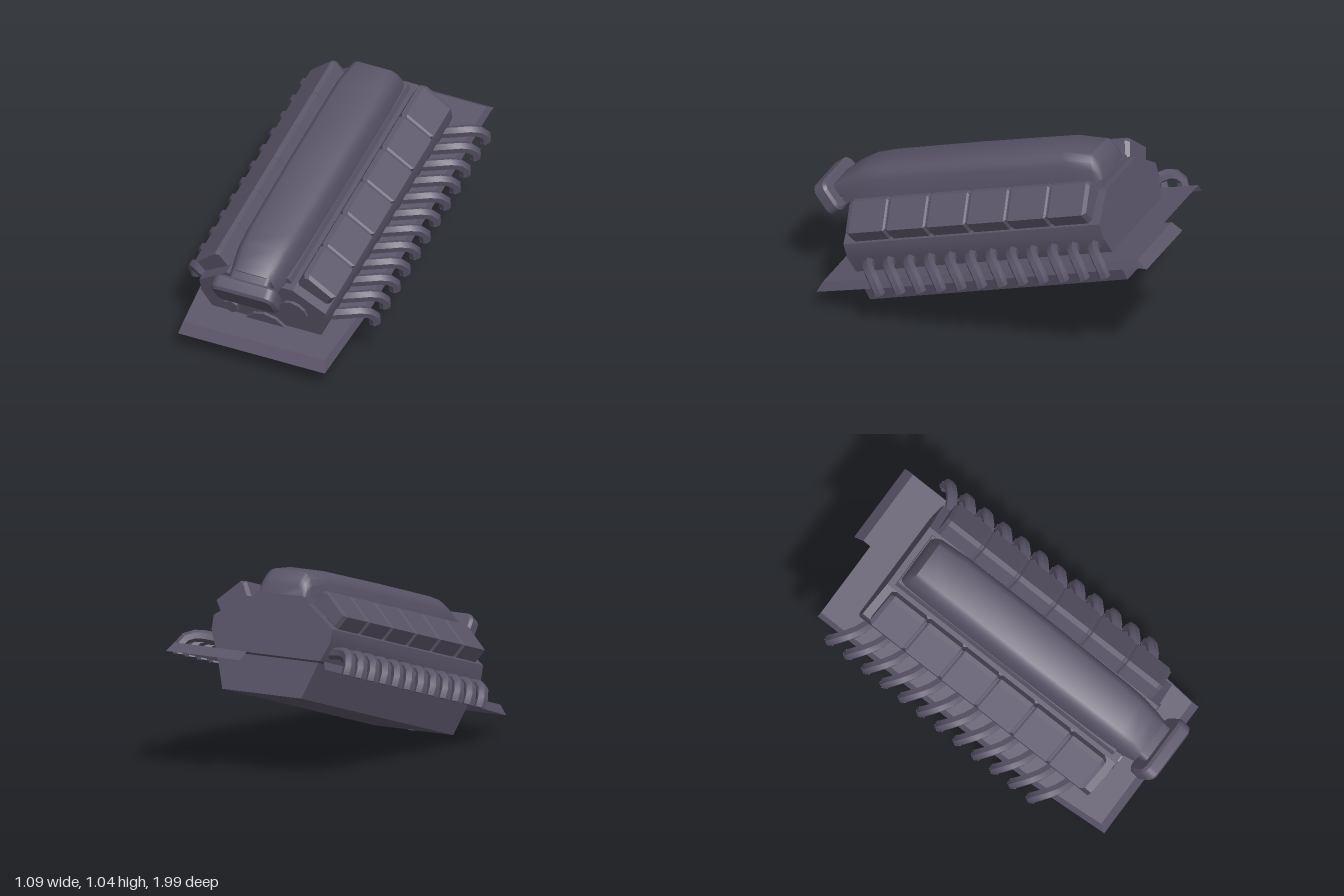
import * as THREE from 'three';
import { toCreasedNormals } from 'three/addons/utils/BufferGeometryUtils.js';

const TILT = 0.29;
const metal = new THREE.MeshStandardMaterial({ color: 0x5a5468 });
const sheet = new THREE.MeshStandardMaterial({ color: 0x5a5468, side: THREE.DoubleSide });

function add(parent, name, geometry, material = metal, crease = 0.5) {
  const mesh = new THREE.Mesh(toCreasedNormals(geometry, crease), material);
  mesh.name = name;
  parent.add(mesh);
  return mesh;
}

// Surface through rows of points, optionally closed around and capped.
function skin(rows, closed) {
  const n = rows[0].length;
  const points = rows.flat();
  const index = [];
  for (let i = 0; i < rows.length - 1; i++) {
    for (let j = 0; j < (closed ? n : n - 1); j++) {
      const k = (j + 1) % n;
      const a = i * n + j, b = i * n + k, c = b + n, d = a + n;
      index.push(a, b, c, a, c, d);
    }
  }
  if (closed) {
    const last = (rows.length - 1) * n;
    for (let j = 1; j < n - 1; j++) {
      index.push(0, j + 1, j, last, last + j, last + j + 1);
    }
  }
  const g = new THREE.BufferGeometry();
  g.setAttribute('position', new THREE.Float32BufferAttribute(points.flat(), 3));
  g.setIndex(index);
  return g;
}

const at = (section, z) => section.map(([x, y]) => [x, y, z]);
// Half outline (from bottom right up) completed with its mirror image.
const symmetric = half => [...half, ...half.map(([x, y]) => [-x, y]).reverse()];

function roundedRect(w, h, r) {
  const s = new THREE.Shape();
  s.absarc(w / 2 - r, h / 2 - r, r, 0, Math.PI / 2);
  s.absarc(-w / 2 + r, h / 2 - r, r, Math.PI / 2, Math.PI);
  s.absarc(-w / 2 + r, -h / 2 + r, r, Math.PI, Math.PI * 1.5);
  s.absarc(w / 2 - r, -h / 2 + r, r, Math.PI * 1.5, Math.PI * 2);
  return s;
}

export function createModel() {
  const root = new THREE.Group();
  root.name = 'engine';
  const body = new THREE.Group();
  body.name = 'tiltedEngine';
  body.rotation.x = TILT;
  root.add(body);

  // Block and sump
  const block = symmetric([[0.31, 0.38], [0.36, 0.49], [0.36, 0.565], [0.19, 0.682]]);
  add(body, 'block', skin([at(block, -0.89), at(block, 0.6)], true));
  const sump = symmetric([[0.24, 0.193], [0.31, 0.386]]);
  add(body, 'sump', skin([at(sump, -0.89), at(sump, 0.61)], true));

  // Mounting plate: flat top, with rims folded down at the sides and front
  const plateRow = ([z, w, rimX, rimY, rimZ]) =>
    [[-rimX, rimY, rimZ], [-w, 0.386, z], [w, 0.386, z], [rimX, rimY, rimZ]];
  add(body, 'mountingPlate', skin([
    [-1.05, 0.44, 0.455, 0.345, -1.05], [0.35, 0.44, 0.455, 0.345, 0.35],
    [0.751, 0.405, 0.42, 0.338, 0.797],
  ].map(plateRow)), sheet, 0.2);
  add(body, 'frontPlateRim', skin([
    [[-0.405, 0.386, 0.751], [0.405, 0.386, 0.751]],
    [[-0.42, 0.338, 0.797], [0.42, 0.338, 0.797]],
  ]), sheet);
  // Rear extension on the left half only
  add(body, 'rearPlateFlap', skin([
    [[0, 0.335, -1.141], [0.455, 0.335, -1.141], [0.455, 0.345, -1.1]],
    [[0, 0.386, -1.095], [0.44, 0.386, -1.095], [0.455, 0.345, -1.1]],
    [[0, 0.386, -1.05], [0.44, 0.386, -1.05], [0.455, 0.345, -1.05]],
  ]), sheet, 0.1);

  // Segmented valve covers, with a groove between segments
  const cover = [[0.355, 0.573], [0.4, 0.64], [0.265, 0.759], [0.235, 0.759], [0.19, 0.68]];
  const coverRow = (scale, z, side) => {
    const row = cover.map(([x, y]) =>
      [side * (0.29 + (x - 0.29) * scale), 0.67 + (y - 0.67) * scale, z]);
    return side > 0 ? row : row.reverse();
  };
  for (const side of [1, -1]) {
    const rows = [];
    const back = -0.85, step = 1.405 / 6;
    for (let i = 0; i < 6; i++) {
      const z0 = back + i * step, z1 = z0 + step;
      rows.push(coverRow(i ? 0.9 : 0.85, z0 + 0.003, side));
      rows.push(coverRow(1, z0 + (i ? 0.014 : 0.025), side));
      rows.push(coverRow(1, z1 - (i < 5 ? 0.014 : 0.025), side));
      rows.push(coverRow(i < 5 ? 0.9 : 0.85, z1 - 0.003, side));
    }
    add(body, side > 0 ? 'leftValveCover' : 'rightValveCover', skin(rows, true), metal, 0.2);
  }

  // Intake hood on a low plinth: chamfered section, rounded off at both ends
  const plinth = symmetric([[0.17, 0.67], [0.155, 0.715]]);
  add(body, 'hoodPlinth', skin([at(plinth, -0.855), at(plinth, 0.56)], true));
  const hoodRow = ([z, w, top, base, round]) => at(symmetric([
    [w, base], [w, top - round * 1.2], [w - round * 0.3, top - round * 0.6],
    [w - round * 0.65, top - round * 0.2], [w - round, top],
  ]), z);
  add(body, 'intakeHood', skin([
    [-0.85, 0.13, 0.765, 0.67, 0.04], [-0.838, 0.14, 0.805, 0.67, 0.05],
    [-0.81, 0.148, 0.843, 0.67, 0.055], [-0.65, 0.152, 0.87, 0.67, 0.052],
    [-0.1, 0.152, 0.873, 0.67, 0.05], [0.4, 0.147, 0.872, 0.67, 0.05],
    [0.51, 0.143, 0.865, 0.675, 0.05], [0.6, 0.135, 0.839, 0.69, 0.05],
    [0.665, 0.125, 0.81, 0.7, 0.04],
  ].map(hoodRow), true), metal, 0.7);

  // Intake mouth on a short neck
  const intake = new THREE.Group();
  intake.name = 'intakeMouth';
  intake.position.set(0, 0.735, 0.735);
  intake.rotation.x = 0.37;
  body.add(intake);
  const rim = new THREE.ExtrudeGeometry(roundedRect(0.33, 0.15, 0.035), {
    depth: 0.056, bevelThickness: 0.014, bevelSize: 0.014, bevelSegments: 1, curveSegments: 3,
  });
  rim.translate(0, 0, -0.028);
  add(intake, 'mouthRim', rim, metal, 0.6);
  const neck = new THREE.ExtrudeGeometry(roundedRect(0.22, 0.08, 0.02), {
    depth: 0.1, bevelEnabled: false, curveSegments: 2,
  });
  neck.translate(0, 0, -0.12);
  add(intake, 'intakeNeck', neck);

  // Pulleys and caps on the front face: x, y, radius, sides
  for (const [x, y, r, sides] of [
    [0, 0.318, 0.13, 12], [0.175, 0.518, 0.08, 12],
    [-0.115, 0.535, 0.066, 12], [-0.19, 0.435, 0.042, 6],
  ]) {
    const disc = new THREE.CylinderGeometry(r, r, 0.04, sides);
    disc.rotateX(Math.PI / 2);
    add(body, 'frontPulley', disc).position.set(x, y, 0.596);
  }

  // Twelve hooked, faceted exhaust pipes on each side
  for (const side of [1, -1]) {
    const bank = new THREE.Group();
    bank.name = side > 0 ? 'leftExhausts' : 'rightExhausts';
    body.add(bank);
    const path = new THREE.CatmullRomCurve3([
      [0.33, 0.445, 0.495], [0.42, 0.452, 0.462], [0.485, 0.437, 0.42],
      [0.515, 0.392, 0.392], [0.511, 0.338, 0.389],
    ].map(([x, y, z]) => new THREE.Vector3(side * x, y, z)));
    const tube = new THREE.TubeGeometry(path, 6, 0.031, 6);
    const end = new THREE.CircleGeometry(0.031, 6);
    end.rotateX(Math.PI / 2);
    end.translate(side * 0.511, 0.338, 0.389);
    for (let i = 0; i < 12; i++) {
      add(bank, 'exhaustPipe', tube, metal, 0.6).position.z = -0.1192 * i;
      add(bank, 'exhaustEnd', end, sheet).position.z = -0.1192 * i;
    }
  }
  return root;
}
